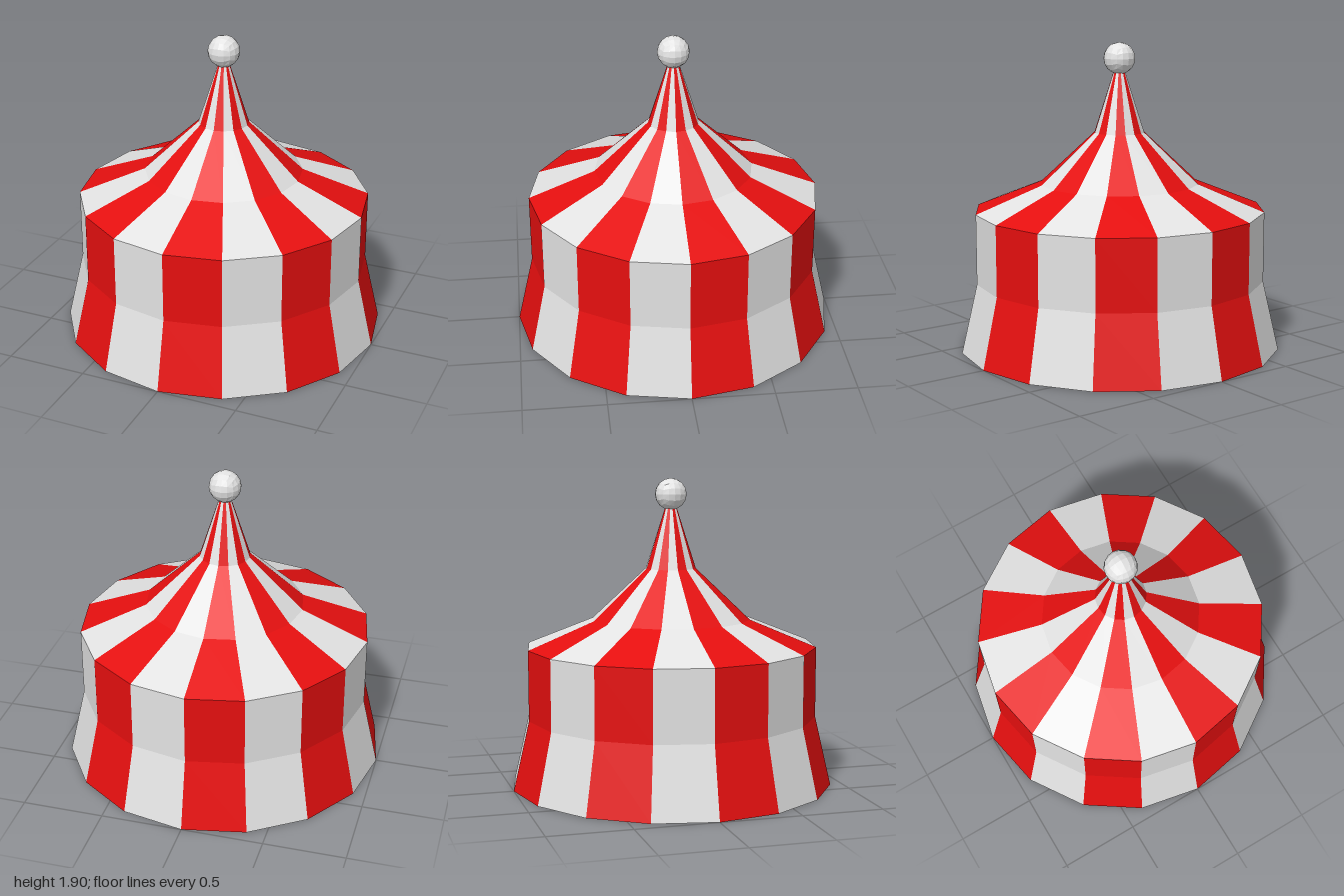
import * as THREE from 'three';

const SIDES = 16;
const STEP = (Math.PI * 2) / SIDES;

const red = new THREE.MeshStandardMaterial({ name: 'red canvas', color: 0xe50f0f, flatShading: true });
const white = new THREE.MeshStandardMaterial({ name: 'white canvas', color: 0xe3e3e3, flatShading: true });

const toPoints = (pairs) => pairs.map(([r, y]) => new THREE.Vector2(r, y));

// Wall flares out at the foot; roof sweeps up to a narrow neck
const wallProfile = toPoints([[1, 0], [0.9, 0.43], [0.9, 0.865]]);
const roofProfile = toPoints([[0.9, 0.865], [0.49, 1.03], [0.155, 1.345], [0.035, 1.72], [0.02, 1.77]]);

// One flat panel per side, alternating red and white
function stripedShell(name, profile) {
  const shell = new THREE.Group();
  shell.name = name;
  for (let i = 0; i < SIDES; i++) {
    const geometry = new THREE.LatheGeometry(profile, 1, i * STEP, STEP);
    const panel = new THREE.Mesh(geometry, i % 2 ? white : red);
    panel.name = name + 'Panel';
    shell.add(panel);
  }
  return shell;
}

// Faceted ball made by pushing a divided cube onto a sphere
function ballGeometry(radius) {
  const geometry = new THREE.BoxGeometry(2, 2, 2, 4, 4, 4);
  const position = geometry.attributes.position;
  const v = new THREE.Vector3();
  const warp = (t) => Math.tan((t * Math.PI) / 4);
  for (let i = 0; i < position.count; i++) {
    v.fromBufferAttribute(position, i);
    v.set(warp(v.x), warp(v.y), warp(v.z)).setLength(radius);
    position.setXYZ(i, v.x, v.y, v.z);
  }
  geometry.computeVertexNormals();
  return geometry;
}

export function createModel() {
  const tent = new THREE.Group();
  tent.name = 'stripedTent';

  tent.add(stripedShell('wall', wallProfile), stripedShell('roof', roofProfile));

  // Closed underside
  const floor = new THREE.Mesh(new THREE.CircleGeometry(1, SIDES).rotateX(Math.PI / 2), red);
  floor.name = 'floor';
  tent.add(floor);

  // Finial on the peak
  const ball = new THREE.Mesh(ballGeometry(0.098), white);
  ball.name = 'finialBall';
  ball.position.y = 1.8;
  tent.add(ball);

  return tent;
}
